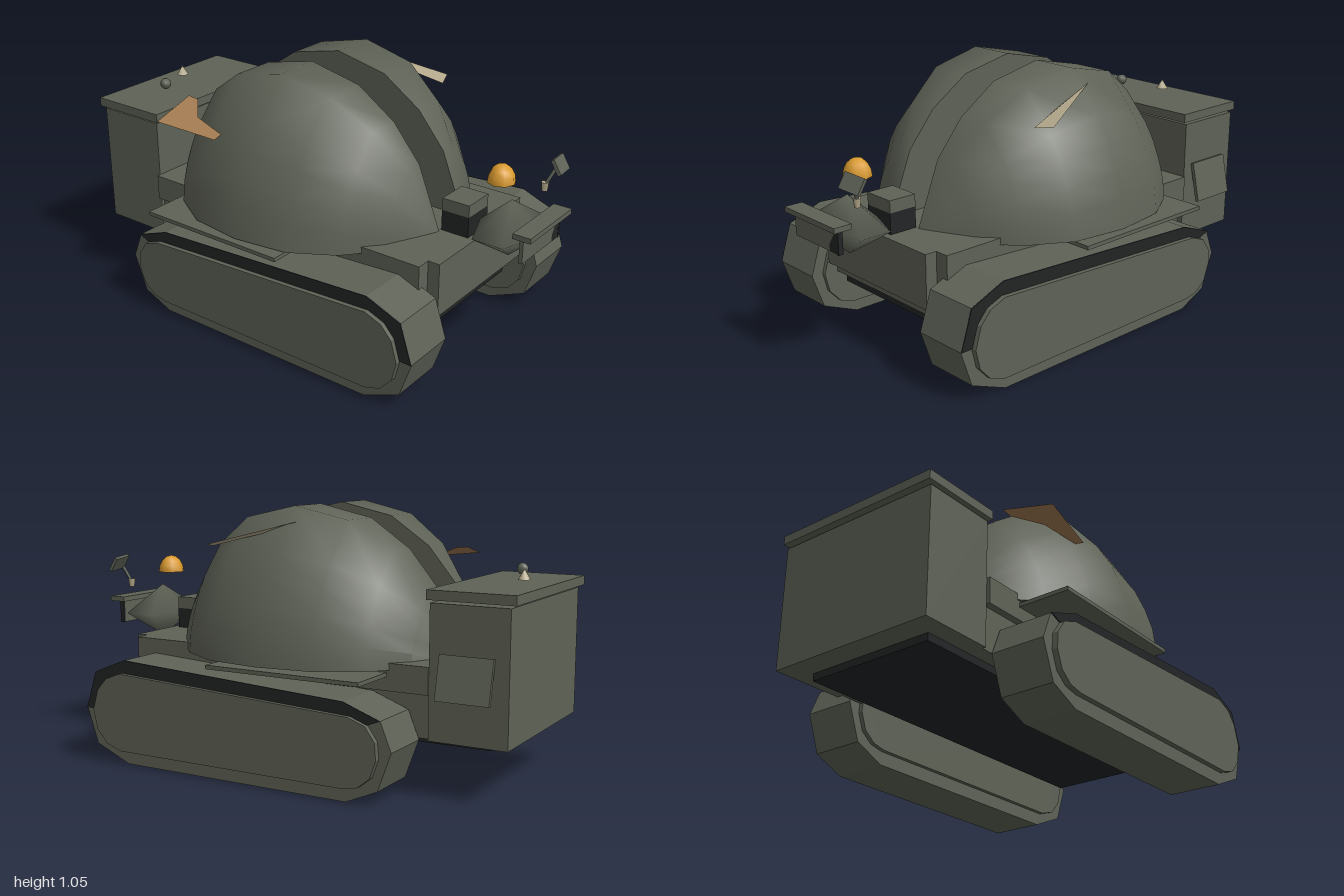
import * as THREE from 'three';
import { toCreasedNormals } from 'three/addons/utils/BufferGeometryUtils.js';

const paint = (name, color, side = THREE.FrontSide) => {
  const m = new THREE.MeshStandardMaterial({ color, side });
  m.name = name;
  return m;
};

export function createModel() {
  const model = new THREE.Group();
  const body = paint('grey green', 0x5e6256);
  const dark = paint('near black', 0x222425);
  const tan = paint('pale tan', 0xb3a88a, THREE.DoubleSide);
  const brown = paint('brown', 0xa17a50, THREE.DoubleSide);
  const gold = paint('gold', 0xd99a2e);

  const add = (name, geo, mat) => {
    const mesh = new THREE.Mesh(geo, mat);
    mesh.name = name;
    model.add(mesh);
    return mesh;
  };
  // Box given by its limits on each axis
  const box = (name, mat, x0, x1, y0, y1, z0, z1) => {
    const mesh = add(name, new THREE.BoxGeometry(x1 - x0, y1 - y0, z1 - z0), mat);
    mesh.position.set((x0 + x1) / 2, (y0 + y1) / 2, (z0 + z1) / 2);
    return mesh;
  };
  // Outline of [z, y] points extruded across x
  const sidePlate = (name, mat, pts, x0, x1) => {
    const shape = new THREE.Shape(pts.map(p => new THREE.Vector2(...p)));
    const geo = new THREE.ExtrudeGeometry(shape, { depth: x1 - x0, bevelEnabled: false });
    geo.rotateY(-Math.PI / 2).translate(x1, 0, 0);
    return add(name, geo, mat);
  };
  // Flat fan of corner points
  const leaf = (name, mat, pts) => {
    const v = [];
    for (let i = 1; i < pts.length - 1; i++) v.push(...pts[0], ...pts[i], ...pts[i + 1]);
    const geo = new THREE.BufferGeometry();
    geo.setAttribute('position', new THREE.Float32BufferAttribute(v, 3));
    geo.computeVertexNormals();
    return add(name, geo, mat);
  };

  // Hull
  box('lowerHull', body, -0.345, 0.345, 0.215, 0.4, -0.67, 0.67);
  box('upperHull', body, -0.375, 0.375, 0.385, 0.49, -0.67, 0.67);
  box('frontPlate', body, -0.315, 0.315, 0.27, 0.49, 0.67, 0.72);
  box('bellyPlate', dark, -0.28, 0.28, 0.185, 0.215, -0.88, 0.66);

  // Rear compartment with lid and fittings
  box('rearBox', body, -0.36, 0.37, 0.215, 0.725, -0.98, -0.67);
  box('rearLid', body, -0.372, 0.372, 0.735, 0.772, -1, -0.655);
  box('sideHatch', body, 0.387, 0.402, 0.375, 0.545, -0.925, -0.715).rotation.z = 0.22;
  add('lidKnob', new THREE.SphereGeometry(0.024, 8, 6), body).position.set(-0.145, 0.81, -0.825);
  add('lidCone', new THREE.ConeGeometry(0.025, 0.042, 8), tan).position.set(0.037, 0.81, -0.9);

  // Tracks, mirrored left and right
  const belt = [[0.78, 0.215], [0.73, 0.37], [0.58, 0.43], [-0.43, 0.375], [-0.58, 0.32],
    [-0.625, 0.21], [-0.57, 0.06], [-0.44, 0.003], [0.57, 0.003], [0.73, 0.07]];
  const panel = [[0.73, 0.215], [0.705, 0.3], [0.66, 0.35], [0.59, 0.377], [-0.46, 0.325],
    [-0.53, 0.3], [-0.57, 0.245], [-0.575, 0.18], [-0.55, 0.11], [-0.5, 0.07], [-0.44, 0.058],
    [0.59, 0.058], [0.66, 0.08], [0.71, 0.135]];
  const trim = [...belt.slice(0, 5), ...panel.slice(0, 6).reverse()];
  for (const s of [-1, 1]) {
    const side = s > 0 ? 'left' : 'right';
    const span = (a, b) => (s > 0 ? [a, b] : [-b, -a]);
    sidePlate(side + 'TrackBelt', body, belt, ...span(0.35, 0.575));
    sidePlate(side + 'TrackPanel', body, panel, ...span(0.332, 0.598));
    sidePlate(side + 'TrackTrim', dark, trim, ...span(0.573, 0.579));
    box(side + 'Fender', body, ...span(0.36, 0.593), 0.438, 0.454, -0.5, 0.165);
  }

  // Split dome: cross-sections [z offset, half width, height] along z
  const stations = [[-0.63, 0.086, 0], [-0.52, 0.31, 0.28], [-0.4, 0.445, 0.425],
    [-0.23, 0.545, 0.54], [0, 0.575, 0.59], [0.23, 0.545, 0.54], [0.4, 0.445, 0.425],
    [0.52, 0.31, 0.28], [0.63, 0.086, 0]];
  const arc = [[1, 0], [0.975, 0.2], [0.92, 0.375], [0.84, 0.56], [0.745, 0.715], [0.495, 1]];
  const halfDome = s => {
    const inner = 0.085, base = 0.463;
    const rings = stations.map(([z, w, h]) => [[0, 0], ...arc, [0, 1]].map(([fx, fy]) =>
      [s * Math.max(inner, w * fx), base + h * fy, z - 0.05]));
    const v = [];
    for (let i = 0; i < rings.length - 1; i++) {
      for (let k = 0; k < rings[i].length; k++) {
        const n = (k + 1) % rings[i].length;
        const [a, b, c, d] = [rings[i][k], rings[i][n], rings[i + 1][n], rings[i + 1][k]];
        const tris = s > 0 ? [a, b, c, a, c, d] : [a, c, b, a, d, c];
        v.push(...tris.flat());
      }
    }
    const geo = new THREE.BufferGeometry();
    geo.setAttribute('position', new THREE.Float32BufferAttribute(v, 3));
    return toCreasedNormals(geo, 1.1);
  };
  add('leftDomeHalf', halfDome(1), body);
  add('rightDomeHalf', halfDome(-1), body);

  // Rails and blocks lying in the slot
  box('rightRail', brown, -0.073, -0.015, 0.49, 0.53, -0.46, 0.05);
  box('leftRail', brown, 0.012, 0.07, 0.49, 0.53, -0.46, 0.09);
  box('slotBlock', body, -0.085, 0, 0.49, 0.54, 0.05, 0.24);
  box('slotPegRight', dark, -0.085, -0.07, 0.49, 0.53, 0.24, 0.38);
  box('slotPegLeft', dark, -0.015, 0.02, 0.49, 0.53, 0.24, 0.35);

  // Neck and faceted head
  box('neck', dark, -0.07, 0.07, 0.49, 0.575, 0.57, 0.69);
  box('neckCap', body, -0.07, 0.07, 0.575, 0.625, 0.57, 0.69);
  const head = new THREE.SphereGeometry(1, 6, 2).rotateY(Math.PI / 6).scale(0.2, 0.117, 0.13);
  add('head', head, body).position.set(0, 0.55, 0.83);
  box('visorBrim', body, -0.16, 0.158, 0.597, 0.618, 0.925, 1);
  box('visorPlate', body, -0.148, 0.13, 0.5, 0.597, 0.95, 0.965);
  leaf('visorPatch', dark, [[0.075, 0.503, 0.967], [0.131, 0.503, 0.967],
    [0.131, 0.59, 0.967], [0.112, 0.585, 0.967], [0.076, 0.53, 0.967]]);
  box('visorEnd', dark, 0.125, 0.133, 0.5, 0.592, 0.948, 0.968);

  // Beacon
  add('beacon', new THREE.SphereGeometry(1, 8, 4, 0, Math.PI * 2, 0, Math.PI / 2)
    .scale(0.057, 0.072, 0.055), gold).position.set(0, 0.727, 0.78);
  const beaconBase = add('beaconBase', new THREE.CircleGeometry(0.055, 8), gold);
  beaconBase.position.set(0, 0.727, 0.78);
  beaconBase.rotation.x = Math.PI / 2;

  // Mirror on its stalk
  const mirror = box('mirror', body, 0.13, 0.23, 0.74, 0.805, 0.921, 0.935);
  mirror.rotation.set(-0.55, 0.15, 0);
  const stalk = new THREE.LineCurve3(new THREE.Vector3(0.147, 0.69, 0.888), new THREE.Vector3(0.17, 0.755, 0.915));
  add('mirrorStalk', new THREE.TubeGeometry(stalk, 1, 0.007, 6), body);
  add('mirrorFoot', new THREE.CylinderGeometry(0.016, 0.012, 0.035, 6), tan).position.set(0.145, 0.685, 0.888);

  // Loose fins on the dome
  leaf('leftFin', tan, [[0.335, 0.995, -0.09], [0.34, 0.955, 0.02], [0.397, 0.892, 0.262], [0.475, 0.905, 0.235]]);
  leaf('rightFin', brown, [[-0.405, 0.835, -0.38], [-0.44, 0.81, -0.225], [-0.48, 0.8, -0.225],
    [-0.525, 0.828, -0.49], [-0.31, 0.87, -0.52], [-0.31, 0.865, -0.47]]);

  return model;
}
